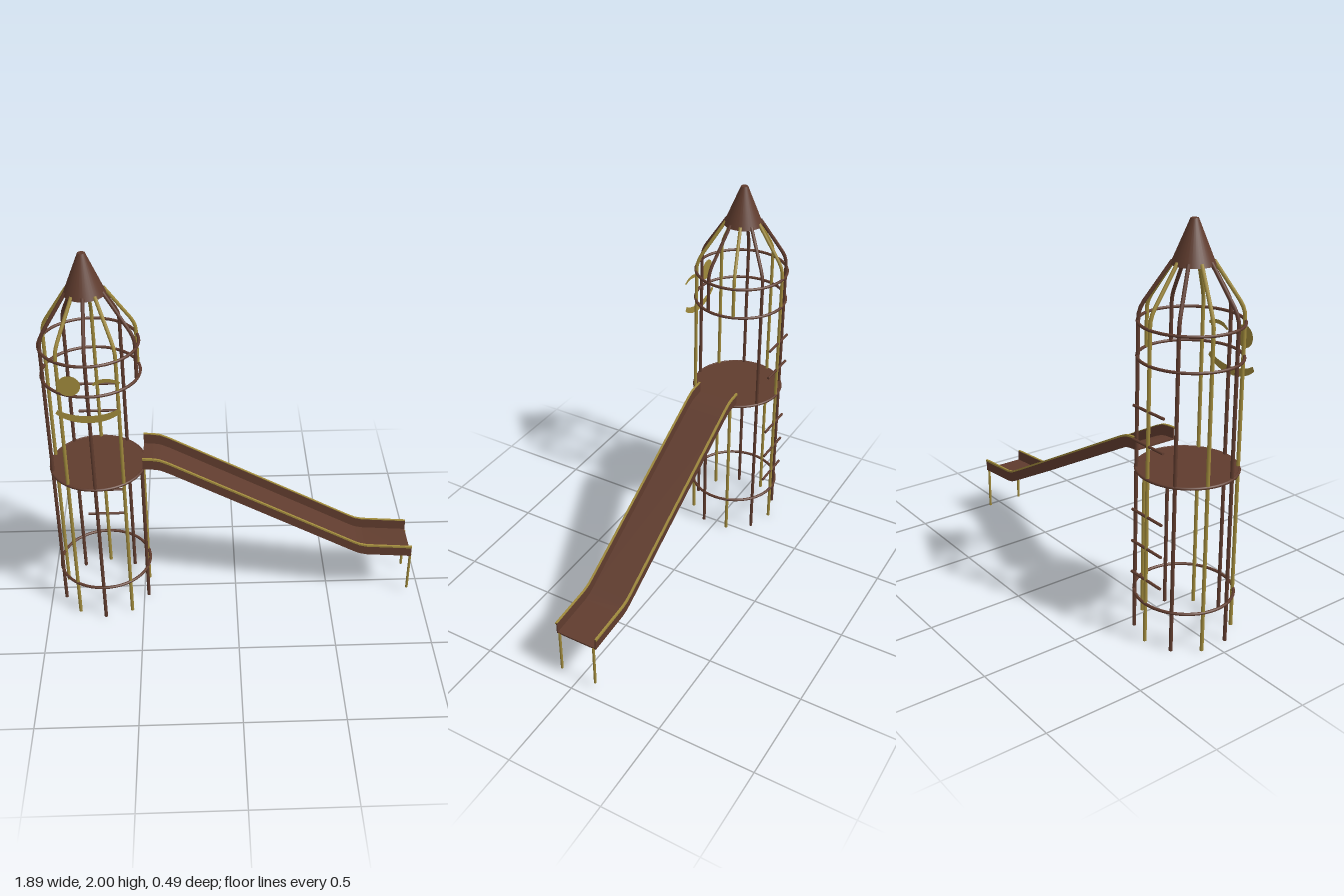
import * as THREE from 'three';

export function createModel() {
  const model = new THREE.Group();
  const material = (name, color, side = THREE.FrontSide) => {
    const m = new THREE.MeshStandardMaterial({ color, side });
    m.name = name;
    return m;
  };
  const brown = material('brown', 0x603c2e);
  const gold = material('gold', 0xa08a3c);
  brown.side = gold.side = THREE.DoubleSide;

  const add = (parent, name, geometry, mat, x = 0, y = 0, z = 0) => {
    const mesh = new THREE.Mesh(geometry, mat);
    mesh.name = name;
    mesh.position.set(x, y, z);
    parent.add(mesh);
    return mesh;
  };

  // Tower, centred on its own axis
  const tower = new THREE.Group();
  tower.name = 'tower';
  tower.position.x = -0.7;
  model.add(tower);
  const R = 0.235, poleR = 0.009, deckY = 0.84, doorTop = 1.38;

  // Ten poles in alternating colours, bent inward to the roof
  for (let i = 0; i < 10; i++) {
    const a = (i / 10) * Math.PI * 2;
    const mat = i % 2 ? gold : brown;
    const at = (r, y) => new THREE.Vector3(Math.sin(a) * r, y, Math.cos(a) * r);
    const besideSlide = i === 2 || i === 3;
    const path = new THREE.CurvePath();
    path.add(new THREE.LineCurve3(at(R, besideSlide ? doorTop : 0), at(R, 1.56)));
    path.add(new THREE.QuadraticBezierCurve3(at(R, 1.56), at(R, 1.595), at(0.21, 1.635)));
    path.add(new THREE.LineCurve3(at(0.21, 1.635), at(0.09, 1.815)));
    add(tower, 'pole', new THREE.TubeGeometry(path, 60, poleR, 8), mat);
    if (besideSlide) {
      const p = at(R, deckY / 2);
      add(tower, 'lowerPole', new THREE.CylinderGeometry(poleR, poleR, deckY, 8), mat, p.x, p.y, p.z);
    }
  }

  // Hoops
  for (const y of [0.203, deckY, doorTop, 1.542]) {
    add(tower, 'hoop', new THREE.TorusGeometry(0.239, 0.0075, 8, 48), brown, 0, y, 0).rotation.x = Math.PI / 2;
  }

  // Deck and roof
  add(tower, 'deck', new THREE.CylinderGeometry(0.24, 0.24, 0.012, 48), brown, 0, deckY, 0);
  add(tower, 'roof', new THREE.CylinderGeometry(0.018, 0.1, 0.2, 32, 1, true), brown, 0, 1.9, 0);
  add(tower, 'roofTip', new THREE.CircleGeometry(0.018, 32), brown, 0, 2, 0).rotation.x = -Math.PI / 2;

  // Ladder rungs on the back
  for (const y of [0.327, 0.49, 0.652, 1.002, 1.166]) {
    add(tower, 'rung', new THREE.CylinderGeometry(0.007, 0.007, 0.212, 8), brown, 0, y, -0.235).rotation.z = Math.PI / 2;
  }

  // Flat face on the front
  const faceZ = 0.247;
  add(tower, 'eye', new THREE.CircleGeometry(0.054, 32), gold, -0.081, 1.446, faceZ);
  const wink = new THREE.Shape();
  wink.moveTo(0.026, 1.452);
  wink.bezierCurveTo(0.055, 1.49, 0.115, 1.49, 0.158, 1.462);
  wink.lineTo(0.152, 1.45);
  wink.bezierCurveTo(0.115, 1.468, 0.07, 1.466, 0.034, 1.445);
  add(tower, 'winkingEye', new THREE.ShapeGeometry(wink, 16), gold, 0, 0, faceZ);
  const smile = new THREE.Shape();
  smile.moveTo(-0.142, 1.318);
  smile.bezierCurveTo(-0.07, 1.268, 0.07, 1.268, 0.142, 1.318);
  smile.lineTo(0.154, 1.298);
  smile.bezierCurveTo(0.08, 1.222, -0.08, 1.222, -0.154, 1.298);
  add(tower, 'smile', new THREE.ShapeGeometry(smile, 20), gold, 0, 0, faceZ);

  // Slide: a channel following one side profile
  const slide = new THREE.Group();
  slide.name = 'slide';
  model.add(slide);
  const profile = [
    [-0.47, 0.871], [-0.42, 0.867], [-0.385, 0.861], [-0.34, 0.84],
    [0.62, 0.308], [0.655, 0.291], [0.695, 0.281], [0.935, 0.262],
  ];
  const band = (low, high, depth) => {
    const bottom = profile.map(([x, y]) => new THREE.Vector2(x, y + low));
    const top = profile.map(([x, y]) => new THREE.Vector2(x, y + high)).reverse();
    const g = new THREE.ExtrudeGeometry(new THREE.Shape([...bottom, ...top]), { depth, bevelEnabled: false });
    return g.translate(0, 0, -depth / 2);
  };
  add(slide, 'slideFloor', band(0, 0.008, 0.22), brown);
  for (const s of [-1, 1]) {
    add(slide, 'slideWall', band(0, 0.062, 0.006), brown, 0, 0, s * 0.11);
    add(slide, 'slideRail', band(0.056, 0.066, 0.011), gold, 0, 0, s * 0.113);
    add(slide, 'slideLeg', new THREE.CylinderGeometry(0.007, 0.007, 0.235, 8), gold, 0.933, 0.148, s * 0.098);
  }

  return model;
}
